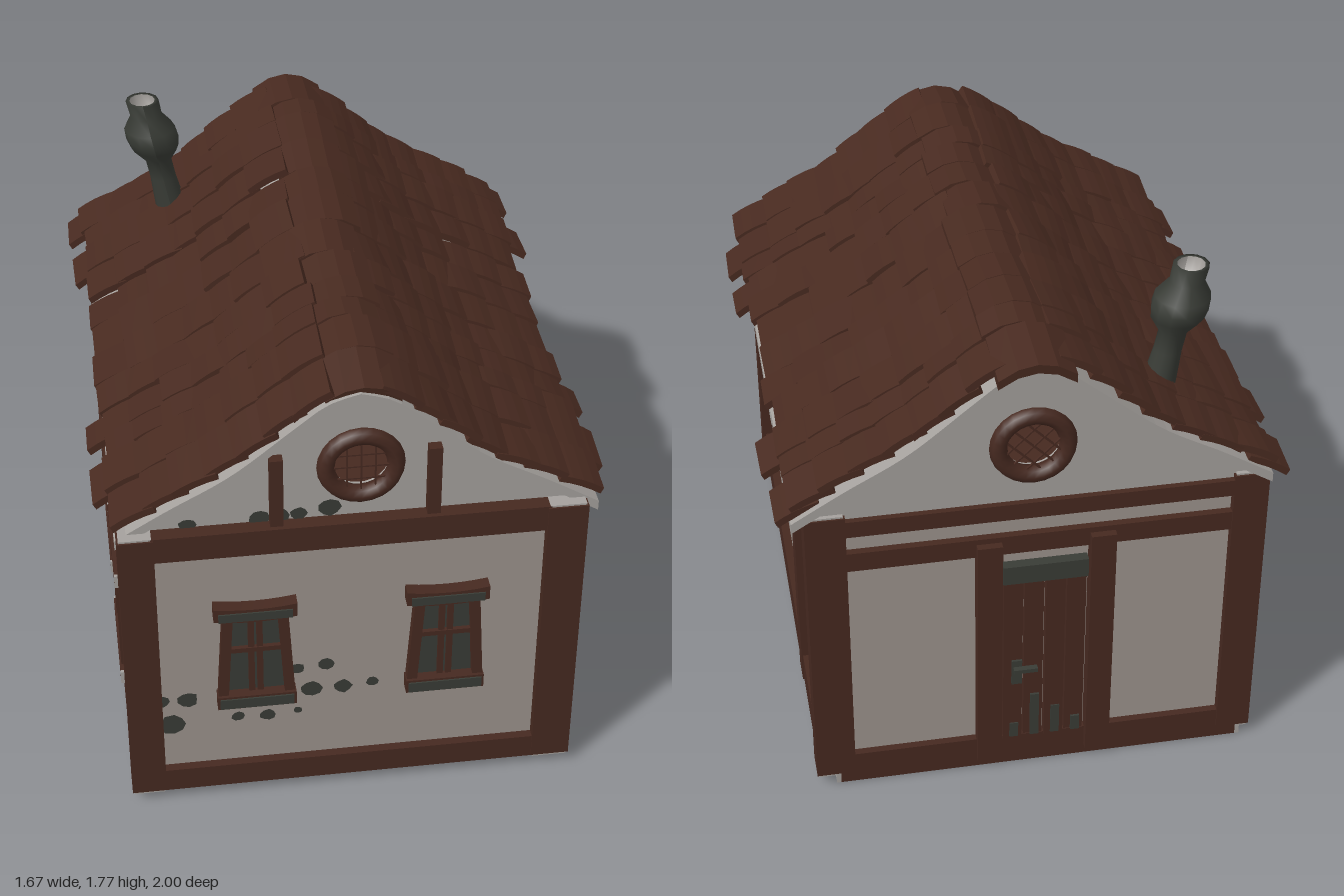
import * as THREE from 'three';
import { mergeGeometries } from 'three/addons/utils/BufferGeometryUtils.js';

const mat = (name, color) => {
  const m = new THREE.MeshStandardMaterial({ color });
  m.name = name;
  return m;
};

export function createModel() {
  const wall = mat('plaster', 0x9c938d);
  const trim = mat('paleTrim', 0xa5a19d);
  const wood = mat('timber', 0x462920);
  const tileMat = mat('roofTile', 0x482a20);
  const stone = mat('darkStone', 0x393c36);
  const house = new THREE.Group();
  house.name = 'cottage';

  let seed = 7;
  const rnd = () => (seed = (seed * 16807) % 2147483647) / 2147483647;
  const jit = a => (rnd() - 0.5) * 2 * a;

  const add = (parent, name, geo, material) => {
    const m = new THREE.Mesh(geo, material);
    m.name = name;
    parent.add(m);
    return m;
  };
  // box given by its limits on each axis
  const box = (parent, name, m, x0, x1, y0, y1, z0, z1) => {
    const b = add(parent, name, new THREE.BoxGeometry(x1 - x0, y1 - y0, z1 - z0), m);
    b.position.set((x0 + x1) / 2, (y0 + y1) / 2, (z0 + z1) / 2);
    return b;
  };
  const group = (name, x, y, z, ry = 0) => {
    const g = new THREE.Group();
    g.name = name;
    g.position.set(x, y, z);
    g.rotation.y = ry;
    house.add(g);
    return g;
  };

  // walls and floor
  box(house, 'floor', wood, -0.72, 0.69, 0.04, 0.07, -0.92, 0.95);
  box(house, 'frontWall', wall, -0.72, 0.69, 0.05, 1.12, 0.92, 0.95);
  box(house, 'backWall', wall, -0.72, 0.69, 0.05, 1.12, -0.92, -0.89);
  box(house, 'leftWall', wall, 0.66, 0.69, 0.05, 1.12, -0.9, 0.93);
  box(house, 'rightWall', wall, -0.73, -0.70, 0.05, 1.12, -0.9, 0.93);

  // posts with pale end grain at top and bottom
  const post = (name, x0, x1, z0, z1, top) => {
    box(house, name, wood, x0, x1, 0.045, top, z0, z1);
    for (const y of [0.034, top]) box(house, 'postEnd', trim, x0 + 0.006, x1 - 0.006, y, y + 0.006, z0 + 0.006, z1 - 0.006);
  };
  for (const [z0, z1] of [[0.885, 0.985], [-0.95, -0.85]]) {
    post('cornerPost', 0.6, 0.73, z0, z1, 1.125);
    post('cornerPost', -0.765, -0.65, z0, z1, 1.125);
  }
  // side timbers
  for (const [x0, x1] of [[0.62, 0.72], [-0.76, -0.66]]) {
    post('sidePost', x0, x1 + 0.005, -0.46, -0.365, 1.11);
    box(house, 'sideBottomBeam', wood, x0, x1, 0.04, 0.155, -0.86, 0.9);
    box(house, 'sideTopBeam', wood, x0, x1 - 0.01, 1.06, 1.1, -0.86, 0.9);
  }
  // front timbers
  box(house, 'frontTopBeam', wood, -0.66, 0.61, 1.035, 1.13, 0.9, 0.98);
  box(house, 'frontBottomBeam', wood, -0.74, 0.69, 0.04, 0.13, 0.9, 0.98);
  // back timbers, with pale ends on the threshold beam
  box(house, 'backBottomBeam', wood, -0.72, 0.65, 0, 0.12, -0.945, -0.86);
  box(house, 'beamEnd', trim, 0.65, 0.665, 0, 0.05, -0.945, -0.86);
  box(house, 'beamEnd', trim, -0.735, -0.72, 0, 0.05, -0.945, -0.86);
  box(house, 'backTopBeam', wood, -0.66, 0.61, 1.05, 1.11, -0.95, -0.88);
  box(house, 'backMiddleBeam', wood, -0.66, 0.61, 0.91, 0.98, -0.945, -0.88);

  // door: planks, posts, lintel, handle
  for (const x of [0.145, -0.225]) box(house, 'doorPost', wood, x - 0.041, x + 0.041, 0.04, 0.96, -0.97, -0.88);
  box(house, 'doorLintel', stone, -0.18, 0.1, 0.79, 0.86, -0.955, -0.9);
  for (let i = 0; i < 4; i++) {
    const x = -0.18 + i * 0.07;
    box(house, 'doorPlank', wood, x + 0.003, x + 0.067, 0.11, 0.785, -0.942 - (i % 2) * 0.006, -0.9);
    box(house, 'plankStain', stone, x + 0.015, x + 0.045, 0.12, 0.18 + 0.06 * (i % 3), -0.952, -0.944);
  }
  box(house, 'handlePlate', stone, 0.035, 0.07, 0.36, 0.46, -0.956, -0.94);
  box(house, 'handleLever', stone, -0.015, 0.065, 0.42, 0.435, -0.975, -0.955);

  // half profile of the roof
  const half = new THREE.SplineCurve([[0, 1.6], [0.1, 1.567], [0.2, 1.49], [0.4, 1.328], [0.6, 1.212], [0.77, 1.108]]
    .map(p => new THREE.Vector2(...p)));
  const roofLen = half.getLength();
  const right = half.getSpacedPoints(20);
  const line = [...right.slice(1).reverse().map(p => new THREE.Vector2(-p.x, p.y)), ...right];
  const backLift = 0.025;

  // roof deck in two stretches, the rear one slightly higher
  for (const [z0, z1, dy] of [[-0.34, 0.945, 0], [-0.96, -0.34, backLift]]) {
    const s = new THREE.Shape([...line, ...line.slice().reverse().map(p => new THREE.Vector2(p.x, p.y - 0.035))].reverse());
    add(house, 'roofDeck', new THREE.ExtrudeGeometry(s, { depth: z1 - z0, bevelEnabled: false }), trim).position.set(0, dy, z0);
  }
  // gable walls with a round opening
  for (const [z, dy] of [[0.9, 0], [-0.93, backLift]]) {
    const top = line.filter(p => p.x > -0.73 && p.x < 0.71).map(p => new THREE.Vector2(p.x, p.y + dy - 0.02));
    const s = new THREE.Shape([new THREE.Vector2(-0.72, 1.08), new THREE.Vector2(0.69, 1.08), ...top.reverse()]);
    s.holes.push(new THREE.Path().absarc(0.005, 1.325, 0.095, 0, Math.PI * 2, true));
    add(house, 'gableWall', new THREE.ExtrudeGeometry(s, { depth: 0.03, bevelEnabled: false, curveSegments: 16 }), trim).position.z = z;
  }
  for (const x of [-0.262, 0.235]) box(house, 'gablePost', wood, x - 0.021, x + 0.021, 1.11, 1.385, 0.92, 0.965);

  // round windows with lattice bars
  const roundWindow = (x, y, z, ry, r, turn, pane) => {
    const g = group('roundWindow', x, y, z, ry);
    add(g, 'ring', new THREE.TorusGeometry(r, 0.029, 8, 24), wood);
    if (pane) add(g, 'pane', new THREE.CircleGeometry(r, 20), stone).position.z = 0.005;
    for (let k = 0; k < 2; k++) {
      for (const d of [-0.045, 0, 0.045]) {
        const len = 2 * Math.sqrt(r * r - d * d);
        const bar = add(g, 'latticeBar', new THREE.BoxGeometry(0.005, len, 0.008), wood);
        const a = turn + k * Math.PI / 2;
        bar.rotation.z = a;
        bar.position.set(Math.cos(a) * d, Math.sin(a) * d, 0.008);
      }
    }
  };
  roundWindow(0.005, 1.325, 0.935, 0, 0.111, 0, false);
  roundWindow(0.005, 1.325, -0.935, Math.PI, 0.111, Math.PI / 4, false);
  roundWindow(-0.735, 0.745, -0.62, -Math.PI / 2, 0.1, Math.PI / 4, true);

  // front windows with splayed jambs and bowed lintel
  for (const x of [-0.338, 0.287]) {
    const g = group('frontWindow', x, 0, 0.95);
    box(g, 'pane', stone, -0.095, 0.095, 0.44, 0.78, 0, 0.009);
    for (const s of [-1, 1]) {
      const jamb = box(g, 'jamb', wood, s * 0.1 - 0.017, s * 0.1 + 0.017, 0.44, 0.78, 0, 0.035);
      jamb.rotation.z = s * 0.06;
      box(g, 'mullion', wood, s * 0.014 - 0.01, s * 0.014 + 0.01, 0.45, 0.77, 0, 0.02);
    }
    box(g, 'crossbar', wood, -0.09, 0.09, 0.625, 0.643, 0, 0.024);
    box(g, 'sill', wood, -0.13, 0.13, 0.4, 0.452, 0, 0.045);
    box(g, 'sillFace', stone, -0.122, 0.122, 0.405, 0.444, 0.045, 0.05);
    const lintel = new THREE.BoxGeometry(0.27, 0.052, 0.045, 6, 1, 1);
    const p = lintel.attributes.position;
    for (let i = 0; i < p.count; i++) p.setY(i, p.getY(i) + 0.6 * p.getX(i) ** 2);
    lintel.computeVertexNormals();
    add(g, 'lintel', lintel, wood).position.set(0, 0.797, 0.0225);
    box(g, 'lintelFace', stone, -0.12, 0.12, 0.781, 0.813, 0.045, 0.05);
  }

  // latticed windows on the right side
  for (const z of [-0.015, 0.565]) {
    const g = group('sideWindow', -0.73, -0.027, z, -Math.PI / 2);
    box(g, 'pane', stone, -0.11, 0.11, 0.42, 0.82, 0, 0.01);
    for (const s of [-1, 1]) {
      box(g, 'jamb', wood, s * 0.13 - 0.026, s * 0.13 + 0.026, 0.4, 0.84, 0, 0.04);
      for (const y of [0.395, 0.815]) box(g, 'sillEnd', trim, s * 0.191 - 0.006, s * 0.191 + 0.006, y - 0.024, y + 0.024, 0, 0.045);
      for (let i = -2; i <= 2; i++) {
        const bar = add(g, 'latticeBar', new THREE.BoxGeometry(0.007, 0.26, 0.006), wood);
        bar.position.set(0, 0.62 + i * 0.065, 0.012);
        bar.rotation.z = s * 0.9;
      }
    }
    box(g, 'sill', wood, -0.186, 0.186, 0.37, 0.42, 0, 0.045);
    box(g, 'lintel', wood, -0.186, 0.186, 0.79, 0.84, 0, 0.045);
  }

  // exposed stones: [across, height, radius]
  const stones = (name, list, place) => {
    const geos = list.map(([x, y, r]) => {
      const pts = Array.from({ length: 9 }, (_, i) => {
        const a = i / 9 * Math.PI * 2, q = r * (1 + jit(0.12));
        return new THREE.Vector2(Math.cos(a) * q * 1.05, Math.sin(a) * q * 0.95);
      });
      return new THREE.ShapeGeometry(new THREE.Shape(pts)).translate(x, y, 0);
    });
    place(add(house, name, mergeGeometries(geos), stone));
  };
  stones('frontStones', [[-0.565, 0.42, 0.033], [-0.65, 0.42, 0.025], [-0.62, 0.315, 0.042], [-0.4, 0.325, 0.021],
    [-0.3, 0.32, 0.025], [-0.2, 0.33, 0.014], [-0.105, 0.525, 0.027], [-0.2, 0.515, 0.022], [-0.155, 0.42, 0.034],
    [-0.05, 0.42, 0.03], [0.05, 0.43, 0.02]], m => m.position.set(0, 0, 0.954));
  stones('gableStones', [[-0.095, 1.165, 0.036], [-0.19, 1.15, 0.026], [-0.25, 1.15, 0.03], [-0.315, 1.145, 0.032],
    [-0.54, 1.14, 0.027]], m => m.position.set(0, 0, 0.934));
  stones('sideStones', [[0.88, 0.445, 0.03], [0.8, 0.445, 0.032], [0.695, 0.445, 0.032], [0.595, 0.445, 0.032],
    [0.49, 0.445, 0.034], [0.39, 0.445, 0.034], [0.285, 0.445, 0.032], [0.185, 0.455, 0.024], [0.86, 0.34, 0.04],
    [0.635, 0.35, 0.02], [0.54, 0.35, 0.028], [0.44, 0.355, 0.02], [0.735, 0.525, 0.01], [0.53, 0.53, 0.022],
    [0.44, 0.54, 0.026], [0.34, 0.55, 0.028]].map(([z, y, r]) => [-z, y, r]),
  m => { m.position.x = 0.694; m.rotation.y = Math.PI / 2; });

  // sagging ridge: height change along z, then a step up for the rear stretch
  const sag = [[-1, 0.018], [-0.65, 0.04], [-0.34, 0.015], [-0.33, 0.01], [0, 0], [0.3, -0.02], [0.7, 0], [0.95, -0.035]];
  const lift = z => {
    const i = sag.findIndex(s => s[0] >= z);
    return THREE.MathUtils.mapLinear(z, sag[i - 1][0], sag[i][0], sag[i - 1][1], sag[i][1]);
  };
  // bowed roof tiles, laid in bands along z and courses down the slope
  const bowed = (l, h, w, k) => {
    const g = new THREE.BoxGeometry(l, h, w, 4, 1, 1);
    const p = g.attributes.position;
    for (let i = 0; i < p.count; i++) p.setY(i, p.getY(i) - k * p.getX(i) ** 2);
    const flat = g.toNonIndexed();
    flat.computeVertexNormals();
    return flat;
  };
  const bands = [-0.945, -0.78, -0.67, -0.5, -0.33, -0.18, 0, 0.18, 0.33, 0.46, 0.57, 0.75, 0.935];
  const tiles = [], caps = [];
  for (let b = 0; b < bands.length - 1; b++) {
    const z = (bands[b] + bands[b + 1]) / 2, w = bands[b + 1] - bands[b];
    for (const side of [-1, 1]) {
      const courses = [0, 2, 8, 10].includes(b) ? 8 : 7;
      for (let i = 0; i < courses; i++) {
        const low = i === 7 ? 0.972 : 0.215 + 0.115 * i;
        const u = Math.min((low - 0.076 + jit(0.012)) / roofLen, 1);
        const p = half.getPointAt(u), t = half.getTangentAt(u);
        const up = i === 7 ? 0.012 : 0.028 + jit(0.006);
        const g = bowed(0.152, 0.024, w - 0.003 + jit(0.004), 1.2);
        g.rotateX(jit(0.06)).rotateZ(Math.atan2(t.y, t.x) + 0.09 + jit(0.04));
        if (side < 0) g.rotateY(Math.PI);
        // the sag fades toward the eaves
        const dy = (z < -0.33 ? backLift : 0) * u + Math.max(lift(z), -0.01) * (1 - u) + (side < 0 ? 0.008 : 0);
        tiles.push(g.translate(side * (p.x - t.y * up), p.y + t.x * up + dy, z + jit(0.004)));
      }
    }
    // ridge cap
    const z0 = b === 0 ? -1 : bands[b], z1 = bands[b + 1];
    const slope = Math.atan2(lift(z0 + 0.001) - lift(z1), z1 - z0);
    caps.push(bowed(0.23 + jit(0.015), 0.032, z1 - z0, 3.4).rotateX(slope + jit(0.02))
      .translate(0.015 + jit(0.015), 1.634 + (lift(z0 + 0.001) + lift(z1)) / 2, (z0 + z1) / 2));
  }
  add(house, 'roofTiles', mergeGeometries(tiles), tileMat);
  add(house, 'ridgeCaps', mergeGeometries(caps), tileMat);

  // leaning, bulbous chimney with a pale inner lining
  const lean = g => {
    const p = g.attributes.position;
    for (let i = 0; i < p.count; i++) p.setX(i, p.getX(i) - 0.45 - 0.2 * (p.getY(i) - 1.32));
    g.computeVertexNormals();
    return g;
  };
  const profile = pts => new THREE.LatheGeometry(pts.map(p => new THREE.Vector2(...p)), 12);
  add(house, 'chimney', lean(profile([[0.06, 1.26], [0.054, 1.36], [0.046, 1.46], [0.046, 1.53], [0.086, 1.585],
    [0.093, 1.62], [0.09, 1.66], [0.056, 1.71], [0.058, 1.768], [0.045, 1.768]])), stone).position.z = -0.68;
  add(house, 'chimneyLining', lean(profile([[0.045, 1.768], [0.042, 1.72], [0, 1.7]])), trim).position.z = -0.68;

  return house;
}
